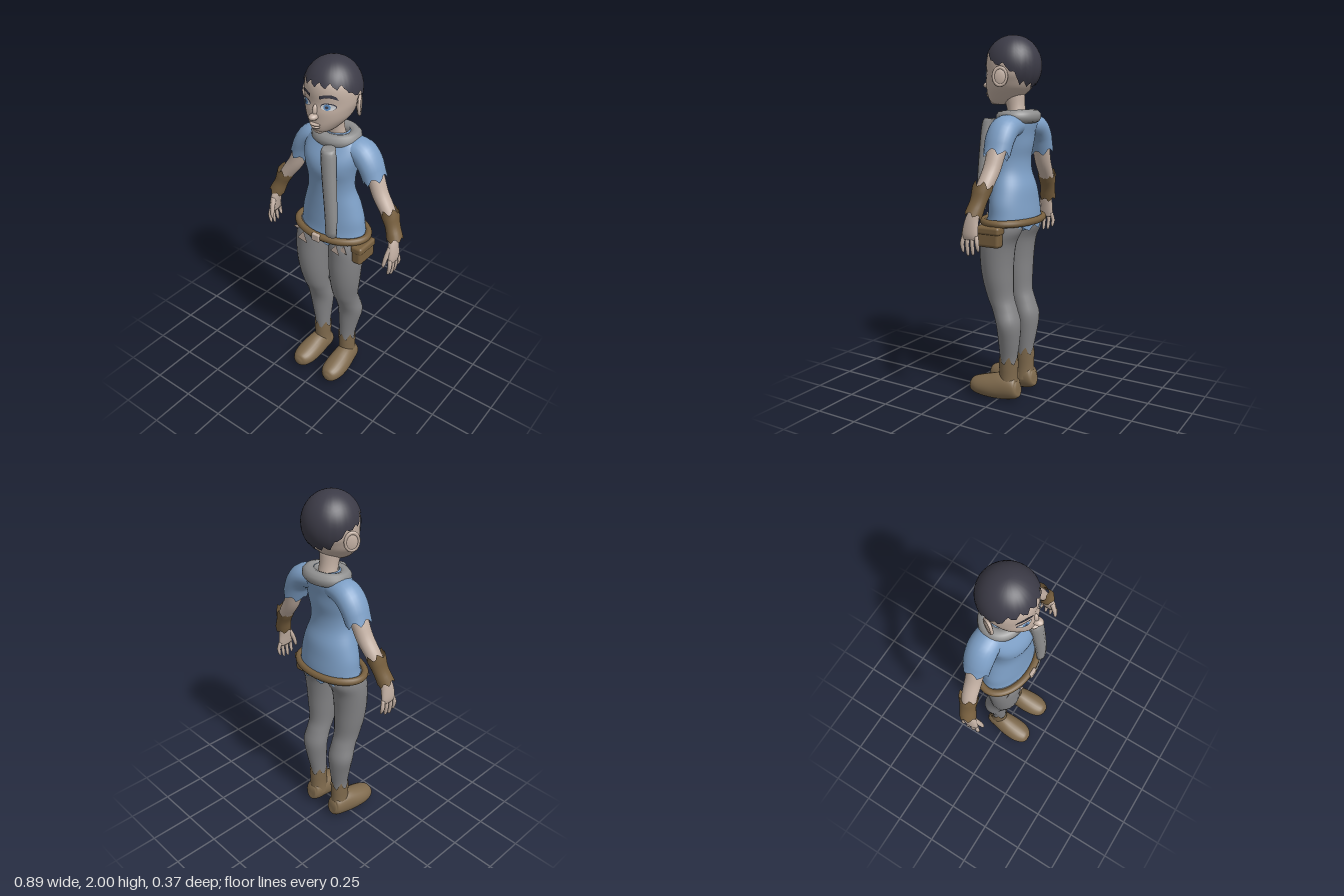
import * as THREE from 'three';
import { mergeVertices } from 'three/addons/utils/BufferGeometryUtils.js';
import { RoundedBoxGeometry } from 'three/addons/geometries/RoundedBoxGeometry.js';

const V = (x, y, z) => new THREE.Vector3(x, y, z);

// Smooth sheet of (nu + 1) x (nv + 1) points given by f(i, j)
function sheet(nu, nv, f) {
  const pos = [], index = [];
  for (let i = 0; i <= nu; i++) for (let j = 0; j <= nv; j++) pos.push(...f(i, j).toArray());
  for (let i = 0; i < nu; i++) for (let j = 0; j < nv; j++) {
    const a = i * (nv + 1) + j, b = a + nv + 1;
    index.push(a, a + 1, b + 1, a, b + 1, b);
  }
  let g = new THREE.BufferGeometry();
  g.setAttribute('position', new THREE.Float32BufferAttribute(pos, 3));
  g.setIndex(index);
  g = mergeVertices(g, 1e-5);
  g.computeVertexNormals();
  return g;
}

// Skin over elliptical rings [x, y, z, a, b]. up: keep rings level; ref: direction of radius b;
// cap: close both ends; jagStart / jagEnd: length of the torn points at each end
function loft(rings, { up = false, ref = V(0, 0, 1), cap = true, jagStart = 0, jagEnd = 0, n = 24, steps = 4 } = {}) {
  const centre = new THREE.CatmullRomCurve3(rings.map(r => V(r[0], r[1], r[2])), false, 'catmullrom');
  const radius = new THREE.CatmullRomCurve3(rings.map(r => V(r[3], r[4], 0)), false, 'catmullrom');
  const m = (rings.length - 1) * steps, extra = cap ? 1 : 0;
  return sheet(m + 2 * extra, n, (i, j) => {
    const k = THREE.MathUtils.clamp(i - extra, 0, m), u = k / m;
    const c = centre.getPoint(u), r = radius.getPoint(u);
    if (k !== i - extra) return c;
    const t = up ? V(0, 1, 0) : centre.getTangent(u);
    const b = ref.clone().addScaledVector(t, -ref.dot(t)).normalize();
    const a = b.clone().cross(t), w = (j % n) / n * Math.PI * 2;
    const tooth = [0, 0.6, 1, 0.2][j % 4];
    const push = k === 0 ? -jagStart * tooth : k === m ? jagEnd * tooth : 0;
    return c.addScaledVector(a, r.x * Math.cos(w)).addScaledVector(b, r.y * Math.sin(w)).addScaledVector(t, push);
  });
}

export function createModel() {
  const model = new THREE.Group();
  const mat = (name, color, side = THREE.FrontSide) => Object.assign(new THREE.MeshStandardMaterial({ color, side }), { name });
  const skin = mat('skin', 0xc4b1a4, THREE.DoubleSide);
  const hairDark = mat('dark hair', 0x3c3b47, THREE.DoubleSide);
  const cloth = mat('blue cloth', 0x7d9fc6, THREE.DoubleSide);
  const grey = mat('grey trousers', 0x838385);
  const wool = mat('grey wool', 0x909090);
  const boot = mat('boot leather', 0x7f6a4d, THREE.DoubleSide);
  const leather = mat('brown leather', 0x78603f, THREE.DoubleSide);
  const white = mat('eye white', 0xd5d8dc, THREE.DoubleSide);
  const blue = mat('eye blue', 0x5f8fc4, THREE.DoubleSide);

  const add = (name, geometry, material, parent = model) => {
    const mesh = new THREE.Mesh(geometry, material);
    mesh.name = name;
    parent.add(mesh);
    return mesh;
  };
  const ball = (name, [x, y, z], [rx, ry, rz], material, turn = 0) => {
    const m = add(name, new THREE.SphereGeometry(1, 24, 16), material);
    m.position.set(x, y, z);
    m.scale.set(rx, ry, rz);
    m.rotation.y = turn;
    return m;
  };

  // Head: level rings from chin to crown
  const head = add('head', loft([
    [0, 1.638, 0.045, 0.025, 0.035], [0, 1.655, 0.035, 0.055, 0.075], [0, 1.685, 0.018, 0.085, 0.102],
    [0, 1.72, 0, 0.112, 0.122], [0, 1.76, -0.012, 0.128, 0.134], [0, 1.8, -0.024, 0.139, 0.139],
    [0, 1.86, -0.026, 0.14, 0.143], [0, 1.91, -0.026, 0.125, 0.13], [0, 1.96, -0.03, 0.085, 0.088],
    [0, 1.985, -0.03, 0.03, 0.03]], { up: true, n: 40 }), skin);
  head.updateMatrixWorld();
  add('neck', loft([[0, 1.54, -0.065, 0.06, 0.05], [0, 1.62, -0.045, 0.05, 0.05], [0, 1.7, -0.03, 0.055, 0.06]], { up: true }), skin);

  // Thin face patches, draped over the front of the head
  const ray = new THREE.Raycaster();
  const drape = (name, geometry, lift, material) => {
    const p = geometry.attributes.position;
    for (let i = 0; i < p.count; i++) {
      ray.set(V(p.getX(i), p.getY(i), 1), V(0, 0, -1));
      const hit = ray.intersectObject(head)[0];
      p.setZ(i, (hit ? hit.point.z : 0.1) + lift);
    }
    geometry.computeVertexNormals();
    return add(name, geometry, material);
  };
  const disc = (x, y, rx, ry) => new THREE.CircleGeometry(1, 24).scale(rx, ry, 1).translate(x, y, 0);
  const outline = pts => new THREE.ShapeGeometry(new THREE.Shape(pts.map(p => new THREE.Vector2(...p))));

  for (const s of [1, -1]) {
    const side = s > 0 ? 'left' : 'right';
    drape(side + 'EyeRim', disc(s * 0.065, 1.797, 0.035, 0.019), 0.002, hairDark);
    drape(side + 'Eye', disc(s * 0.065, 1.795, 0.032, 0.016), 0.004, white);
    drape(side + 'Iris', disc(s * 0.063, 1.796, 0.016, 0.0155), 0.006, blue);
    drape(side + 'Pupil', disc(s * 0.063, 1.796, 0.007, 0.007), 0.008, hairDark);
    drape(side + 'Eyebrow', outline([[0.028, 1.833], [0.06, 1.845], [0.085, 1.843], [0.108, 1.83],
      [0.1, 1.85], [0.08, 1.861], [0.055, 1.859], [0.028, 1.85]].map(([x, y]) => [s * x, y])), 0.006, hairDark);
    ball(side + 'Ear', [s * 0.15, 1.78, -0.038], [0.013, 0.05, 0.038], skin, s * 0.5);
    const rim = add(side + 'EarRim', new THREE.TorusGeometry(0.034, 0.008, 8, 24), skin);
    rim.position.set(s * 0.154, 1.782, -0.037);
    rim.rotation.y = Math.PI / 2 + s * 0.5;
    rim.scale.y = 1.3;
  }
  ball('noseBridge', [0, 1.765, 0.112], [0.014, 0.035, 0.022], skin);
  ball('noseTip', [0, 1.74, 0.13], [0.023, 0.017, 0.03], skin);
  ball('upperLip', [0, 1.697, 0.118], [0.03, 0.008, 0.021], skin);
  ball('lowerLip', [0, 1.683, 0.114], [0.026, 0.009, 0.022], skin);
  ball('chin', [0, 1.655, 0.09], [0.03, 0.018, 0.022], skin);

  // Hair cap with a torn edge: edge height against the angle from the front
  const edge = [[0, 1.9], [0.2, 1.9], [0.36, 1.885], [0.43, 1.84], [0.5, 1.85], [0.62, 1.82], [0.75, 1.75], [1.01, 1.73]];
  const edgeAt = d => {
    const k = edge.findIndex((e, i) => d < edge[i + 1][0]);
    const [a, b] = [edge[k], edge[k + 1]];
    return THREE.MathUtils.lerp(a[1], b[1], (d - a[0]) / (b[0] - a[0]));
  };
  add('hair', sheet(80, 14, (i, j) => {
    const phi = (i % 80) / 80 * Math.PI * 2, d = Math.min(phi, Math.PI * 2 - phi) / Math.PI;
    const y = edgeAt(d) + [-0.012, 0.004, 0.014, 0, -0.006][i % 5];
    const th = Math.acos((y - 1.84) / 0.16) * j / 14;
    return V(0.149 * Math.sin(th) * Math.sin(phi), 1.84 + 0.16 * Math.cos(th), -0.028 + 0.154 * Math.sin(th) * Math.cos(phi));
  }), hairDark);

  // Tunic body with a torn hem
  add('tunic', loft([
    [0, 0.995, -0.033, 0.205, 0.13], [0, 1.05, -0.038, 0.195, 0.124], [0, 1.12, -0.036, 0.188, 0.118],
    [0, 1.2, -0.032, 0.165, 0.112], [0, 1.28, -0.02, 0.139, 0.1], [0, 1.35, -0.015, 0.138, 0.1],
    [0, 1.42, -0.014, 0.15, 0.113], [0, 1.48, -0.022, 0.163, 0.11], [0, 1.54, -0.045, 0.165, 0.096],
    [0, 1.58, -0.055, 0.135, 0.08], [0, 1.605, -0.06, 0.07, 0.06]],
    { up: true, n: 48, cap: false, jagStart: 0.025 }), cloth);
  ball('tunicSeat', [0, 1.0, -0.035], [0.06, 0.05, 0.115], cloth);

  // Belt, buckle, skin showing through tears, and pouch
  const ellipseTube = (y, z, rx, rz, r, tilt) => new THREE.TubeGeometry(new THREE.CatmullRomCurve3(
    Array.from({ length: 24 }, (_, i) => {
      const w = i / 24 * Math.PI * 2;
      return V(rx * Math.sin(w), y + tilt * Math.cos(w), z + rz * Math.cos(w));
    }), true), 72, r, 10, true);
  add('belt', ellipseTube(1.02, -0.03, 0.218, 0.138, 0.02, 0), leather);
  add('buckle', new RoundedBoxGeometry(0.05, 0.045, 0.02, 2, 0.006), skin).position.set(0, 1.02, 0.125);
  for (const [x, z, w, h] of [[-0.1, 0.112, 0.04, 0.07], [0.12, 0.108, 0.035, 0.06], [-0.17, 0.075, 0.03, 0.03], [0.16, 0.09, 0.03, 0.05]])
    add('tear', outline([[-w, -h * 0.8], [w * 0.7, -h], [w * 0.1, 0]]), skin).position.set(x, 1.01, z);
  add('pouch', new RoundedBoxGeometry(0.062, 0.11, 0.14, 3, 0.018), leather).position.set(0.218, 0.95, -0.01);
  add('pouchFlap', new RoundedBoxGeometry(0.072, 0.045, 0.148, 3, 0.015), leather).position.set(0.218, 0.985, -0.01);

  // Scarf ring and hanging end
  add('scarf', ellipseTube(1.573, -0.06, 0.102, 0.08, 0.037, -0.004), wool);
  add('scarfEnd', loft([[0.097, 1.07, 0.118, 0.034, 0.022], [0.092, 1.2, 0.112, 0.036, 0.03], [0.075, 1.38, 0.103, 0.04, 0.034],
    [0.06, 1.53, 0.092, 0.042, 0.036], [0.055, 1.565, 0.08, 0.036, 0.034]], { up: true, n: 12 }), wool);

  for (const s of [1, -1]) {
    const side = s > 0 ? 'left' : 'right';
    const limb = (name, rings, material, opts) => add(side + name, loft(rings.map(([x, ...r]) => [s * x, ...r]), opts), material);

    // Arm, sleeve and bracer
    limb('Sleeve', [[0.07, 1.53, -0.062, 0.06, 0.075], [0.155, 1.515, -0.068, 0.068, 0.08],
      [0.205, 1.465, -0.068, 0.064, 0.08], [0.233, 1.4, -0.068, 0.06, 0.074]], cloth, { cap: false, jagEnd: 0.03 });
    limb('Arm', [[0.19, 1.48, -0.068, 0.05, 0.055], [0.24, 1.4, -0.068, 0.045, 0.05], [0.28, 1.31, -0.062, 0.043, 0.046],
      [0.345, 1.215, -0.052, 0.037, 0.042], [0.388, 1.12, -0.035, 0.025, 0.032], [0.402, 1.06, -0.02, 0.024, 0.04],
      [0.41, 1.0, -0.015, 0.02, 0.046], [0.41, 0.97, -0.015, 0.014, 0.042]], skin);
    limb('Bracer', [[0.35, 1.225, -0.052, 0.05, 0.053], [0.376, 1.16, -0.044, 0.038, 0.045], [0.4, 1.1, -0.032, 0.044, 0.046]],
      leather, { cap: false, jagStart: 0.03, jagEnd: 0.02 });

    // Fingers and thumb
    for (let k = 0; k < 4; k++) {
      const z = 0.02 - k * 0.024, end = [0.9, 0.885, 0.89, 0.91][k], z2 = z * 1.25 + 0.004;
      limb('Finger', [[0.41, 0.99, z, 0.011, 0.012], [0.416, 0.95, z2, 0.011, 0.011],
        [0.41, end + 0.015, z2, 0.009, 0.009], [0.405, end, z2, 0.004, 0.004]], skin, { n: 10 });
    }
    limb('Thumb', [[0.4, 1.06, 0.005, 0.014, 0.016], [0.392, 1.01, 0.03, 0.013, 0.013], [0.386, 0.965, 0.042, 0.01, 0.01],
      [0.384, 0.945, 0.044, 0.004, 0.004]], skin, { n: 10 });

    // Leg, boot shaft and foot
    limb('Leg', [[0.093, 0.18, -0.053, 0.042, 0.045], [0.093, 0.25, -0.054, 0.046, 0.05], [0.1, 0.35, -0.06, 0.061, 0.06],
      [0.107, 0.45, -0.061, 0.077, 0.066], [0.105, 0.53, -0.036, 0.072, 0.069], [0.105, 0.6, -0.01, 0.074, 0.074],
      [0.11, 0.7, 0.003, 0.086, 0.086], [0.113, 0.8, 0.007, 0.094, 0.093], [0.113, 0.9, 0, 0.1, 0.1],
      [0.109, 0.97, -0.018, 0.101, 0.116], [0.1, 1.03, -0.03, 0.095, 0.11]], grey, { up: true });
    limb('BootShaft', [[0.093, 0.07, -0.055, 0.055, 0.055], [0.093, 0.14, -0.054, 0.049, 0.053], [0.093, 0.22, -0.054, 0.051, 0.056]],
      boot, { up: true, cap: false, jagEnd: 0.045 });
    const foot = limb('Foot', [[0.093, 0.078, -0.118, 0.03, 0.035], [0.094, 0.076, -0.1, 0.05, 0.062], [0.1, 0.077, -0.03, 0.061, 0.077],
      [0.105, 0.066, 0.05, 0.07, 0.069], [0.108, 0.058, 0.12, 0.066, 0.056], [0.11, 0.054, 0.165, 0.046, 0.042],
      [0.11, 0.054, 0.184, 0.018, 0.018]], boot, { ref: V(0, 1, 0) });
    const p = foot.geometry.attributes.position;
    for (let i = 0; i < p.count; i++) p.setY(i, Math.max(p.getY(i), 0));
    foot.geometry.computeVertexNormals();
  }
  return model;
}
